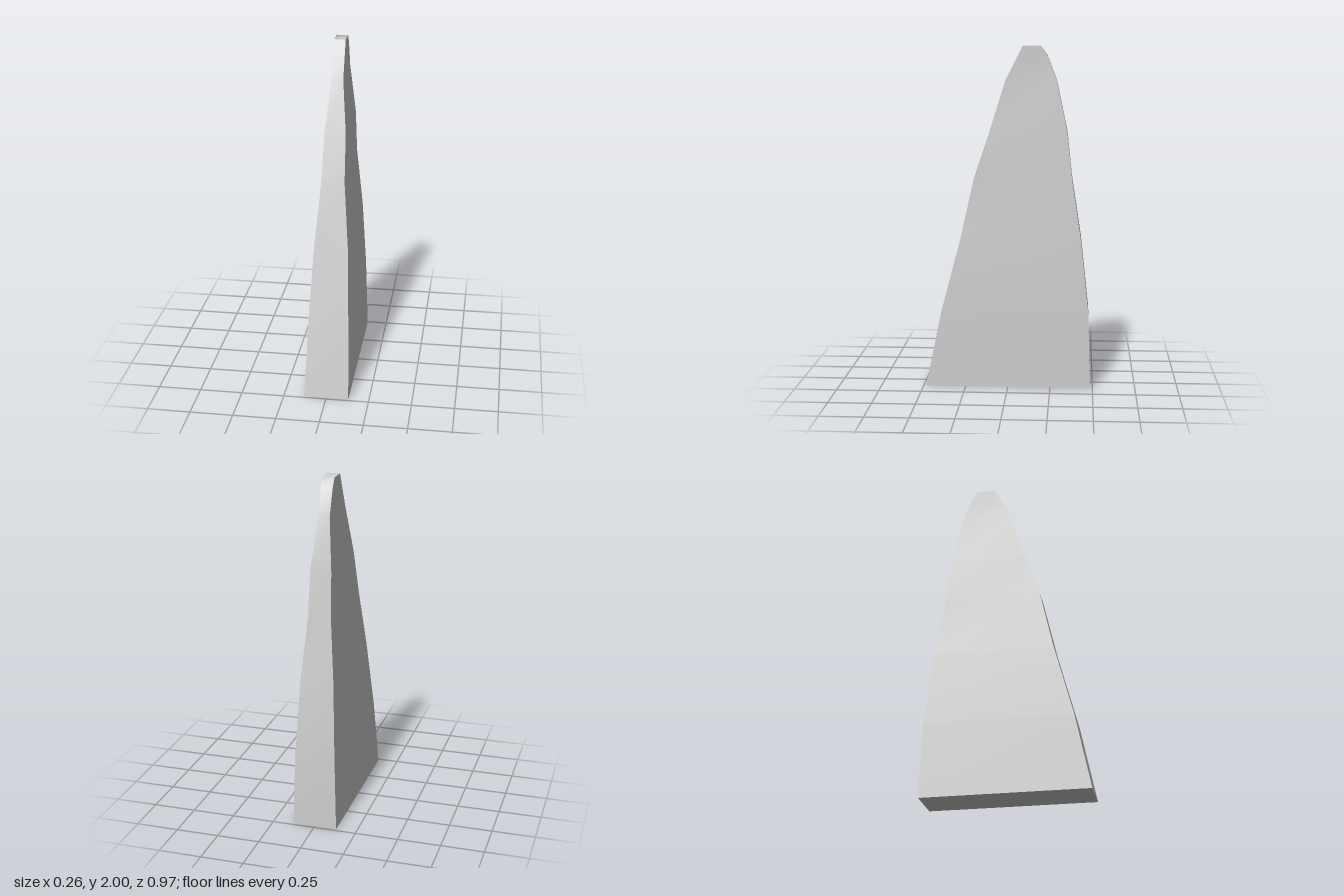
import * as THREE from 'three';
import { toCreasedNormals } from 'three/addons/utils/BufferGeometryUtils.js';

// Sections from bottom to top: height, half width, front z, back z
const SECTIONS = [
  [0, 0.13, 0.485, -0.485],
  [0.44, 0.117, 0.395, -0.473],
  [0.88, 0.097, 0.28, -0.425],
  [1.24, 0.067, 0.2, -0.37],
  [1.5, 0.061, 0.113, -0.342],
  [1.8, 0.034, 0.02, -0.28],
  [1.95, 0.034, -0.055, -0.222],
  [2, 0.034, -0.08, -0.185],
];

export function createModel() {
  const group = new THREE.Group();
  group.name = 'taperedFin';

  // A segmented box whose rows are fitted to the sections
  const rows = SECTIONS.length - 1;
  const box = new THREE.BoxGeometry(1, 1, 1, 1, rows, 1);
  const pos = box.attributes.position;
  for (let i = 0; i < pos.count; i++) {
    const row = Math.round((pos.getY(i) + 0.5) * rows);
    const [y, halfWidth, front, back] = SECTIONS[row];
    pos.setXYZ(i, Math.sign(pos.getX(i)) * halfWidth, y, pos.getZ(i) > 0 ? front : back);
  }

  // Smooth along the curved bands, sharp at the side edges and front of the tip
  const blade = new THREE.Mesh(
    toCreasedNormals(box, THREE.MathUtils.degToRad(60)),
    new THREE.MeshStandardMaterial({ color: 0xcccccc })
  );
  blade.name = 'finBlade';
  group.add(blade);
  return group;
}
